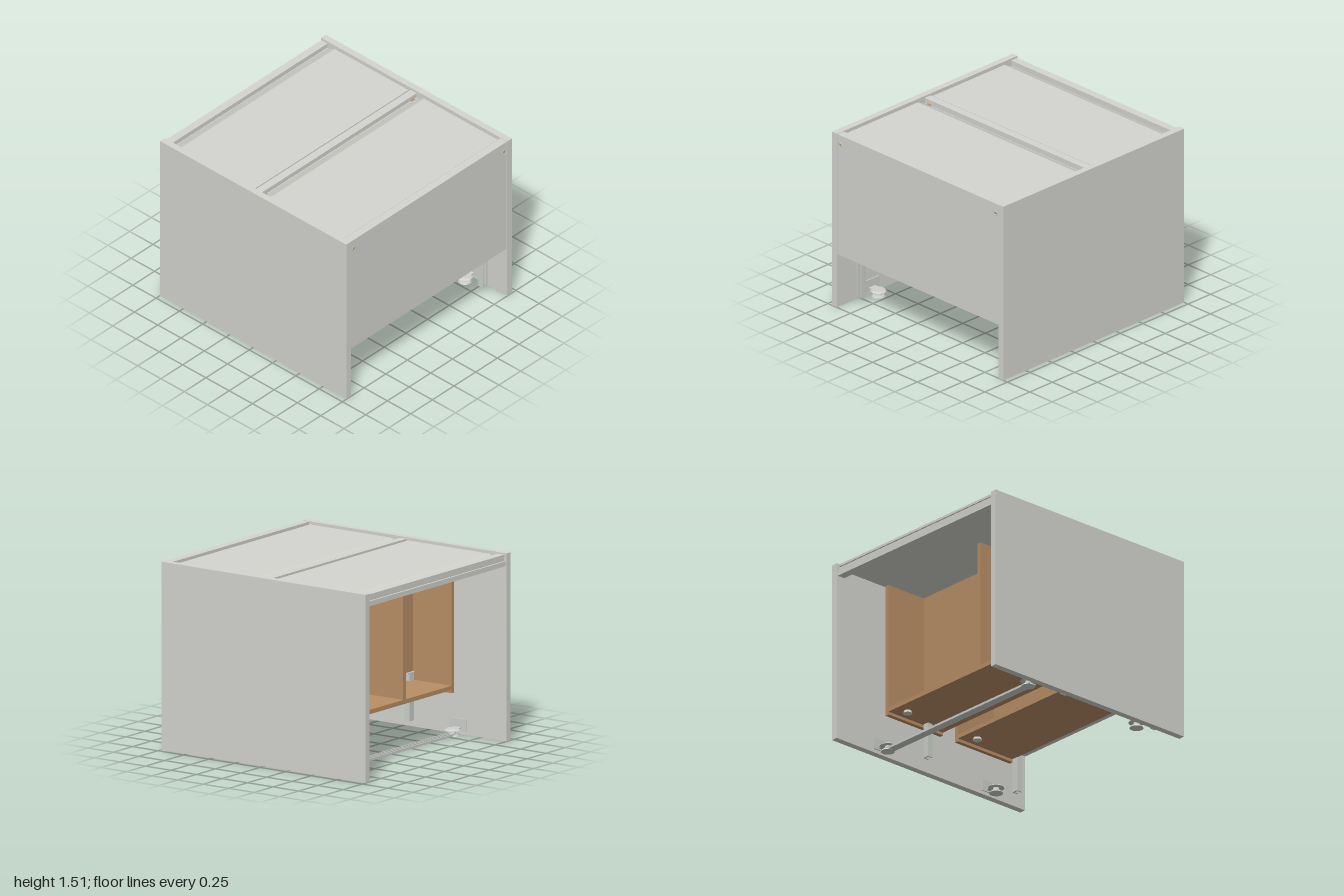
import * as THREE from 'three';

const paint = new THREE.MeshStandardMaterial({ name: 'grey panel', color: 0xd4d4cf });
const wood = new THREE.MeshStandardMaterial({ name: 'wood', color: 0xb98f66 });
const metal = new THREE.MeshStandardMaterial({ name: 'metal', color: 0xcdd0cd });

export function createModel() {
  const root = new THREE.Group();
  root.name = 'cabinet';

  // Box given by its minimum and maximum on each axis
  const box = (name, mat, x0, x1, y0, y1, z0, z1, parent = root) => {
    const m = new THREE.Mesh(new THREE.BoxGeometry(x1 - x0, y1 - y0, z1 - z0), mat);
    m.position.set((x0 + x1) / 2, (y0 + y1) / 2, (z0 + z1) / 2);
    m.name = name;
    parent.add(m);
    return m;
  };
  const disc = (name, mat, r0, r1, h, x, y, z, parent = root) => {
    const m = new THREE.Mesh(new THREE.CylinderGeometry(r0, r1, h, 20), mat);
    m.position.set(x, y, z);
    m.name = name;
    parent.add(m);
    return m;
  };
  // Box mirrored to both sides, measured on +x
  const pair = (name, mat, x0, x1, ...r) => {
    box(name, mat, x0, x1, ...r);
    box(name, mat, -x1, -x0, ...r);
  };

  // Outer shell
  pair('sidePanel', paint, 0.9, 0.955, 0, 1.515, -1, 1);
  box('frontPanel', paint, -0.897, 0.897, 0.465, 1.513, 0.93, 0.998);

  // Stepped rails at the back and in the middle
  for (const z of [-0.99, -0.032]) {
    box('railBase', paint, -0.9, 0.9, 1.41, 1.45, z, z + 0.07);
    box('railWeb', paint, -0.9, 0.9, 1.45, 1.485, z + 0.015, z + 0.055);
    box('railCap', paint, -0.89, 0.89, 1.485, 1.505, z + 0.004, z + 0.07);
  }

  // Lids with a sloping rear edge
  for (const [z0, z1] of [[-0.925, -0.047], [0.035, 0.912]]) {
    const s = new THREE.Shape();
    s.moveTo(-z0, 1.445);
    s.lineTo(-z0, 1.455);
    s.lineTo(-z0 - 0.085, 1.495);
    s.lineTo(-z1, 1.495);
    s.lineTo(-z1, 1.46);
    s.lineTo(-z0 - 0.085, 1.46);
    const g = new THREE.ExtrudeGeometry(s, { depth: 1.77, bevelEnabled: false });
    g.rotateY(Math.PI / 2);
    g.translate(-0.885, 0, 0);
    const lid = new THREE.Mesh(g, paint);
    lid.name = 'lid';
    root.add(lid);
  }

  // Wooden compartments, open to the back
  for (const z of [-0.51, 0.23]) {
    const unit = new THREE.Group();
    unit.name = 'woodenUnit';
    root.add(unit);
    for (const s of [-1, 1]) {
      const x = s * 0.8525;
      box('unitSide', wood, x - 0.0175, x + 0.0175, 0.335, 1.459, z, z + 0.58, unit);
      disc('floorFoot', metal, 0.03, 0.037, 0.022, s * 0.72, 0.345, z + 0.1, unit);
    }
    box('unitFloor', wood, -0.835, 0.835, 0.36, 0.395, z, z + 0.58, unit);
    box('unitBack', wood, -0.835, 0.835, 0.465, 1.459, z + 0.375, z + 0.395, unit);
    box('unitDivider', wood, -0.237, -0.203, 0.395, 1.459, z + 0.003, z + 0.375, unit);
  }
  pair('mountingPlate', metal, 0.67, 0.84, 0.372, 0.396, 0.811, 0.818);

  // Channel posts with top flange and round base
  for (const z of [-0.12, 0.83]) {
    pair('postWeb', metal, 0.775, 0.83, 0.07, 0.46, z - 0.025, z - 0.015);
    pair('postFlange', metal, 0.775, 0.785, 0.07, 0.46, z - 0.015, z + 0.025);
    pair('postFlange', metal, 0.82, 0.83, 0.07, 0.46, z - 0.015, z + 0.025);
    pair('postTop', metal, 0.74, 0.9, 0.455, 0.464, z - 0.03, z + 0.04);
  }

  // Feet fixed to the side panels
  for (const s of [-1, 1]) for (const z of [-0.53, 0.62]) {
    const foot = new THREE.Group();
    foot.name = 'foot';
    root.add(foot);
    disc('footPad', metal, 0.045, 0.055, 0.015, s * 0.82, 0.0075, z, foot);
    disc('footStem', metal, 0.022, 0.03, 0.04, s * 0.82, 0.035, z, foot);
    disc('footCollar', metal, 0.05, 0.065, 0.012, s * 0.82, 0.052, z, foot);
    const x = s * 0.86;
    box('footArm', metal, x - 0.04, x + 0.04, 0.045, 0.058, z - 0.035, z + 0.035, foot);
    const p = s * 0.896;
    box('footPlate', metal, p - 0.004, p + 0.004, 0.03, 0.125, z - 0.08, z + 0.08, foot);
  }

  // Channel running across the floor
  box('floorRail', metal, -0.87, 0.87, 0.003, 0.012, -0.565, -0.495);
  for (const z of [-0.565, -0.534, -0.503])
    box('floorRailLip', metal, -0.85, 0.85, 0.012, 0.022, z, z + 0.008);

  // Fasteners in the upper corners of the front
  for (const s of [-1, 1]) {
    const ring = new THREE.Mesh(new THREE.TorusGeometry(0.019, 0.003, 6, 20), metal);
    ring.position.set(s * 0.865, 1.43, 0.998);
    ring.name = 'fastenerRing';
    root.add(ring);
    disc('fastener', wood, 0.01, 0.01, 0.006, s * 0.865, 1.43, 0.997).rotation.x = Math.PI / 2;
  }
  return root;
}
